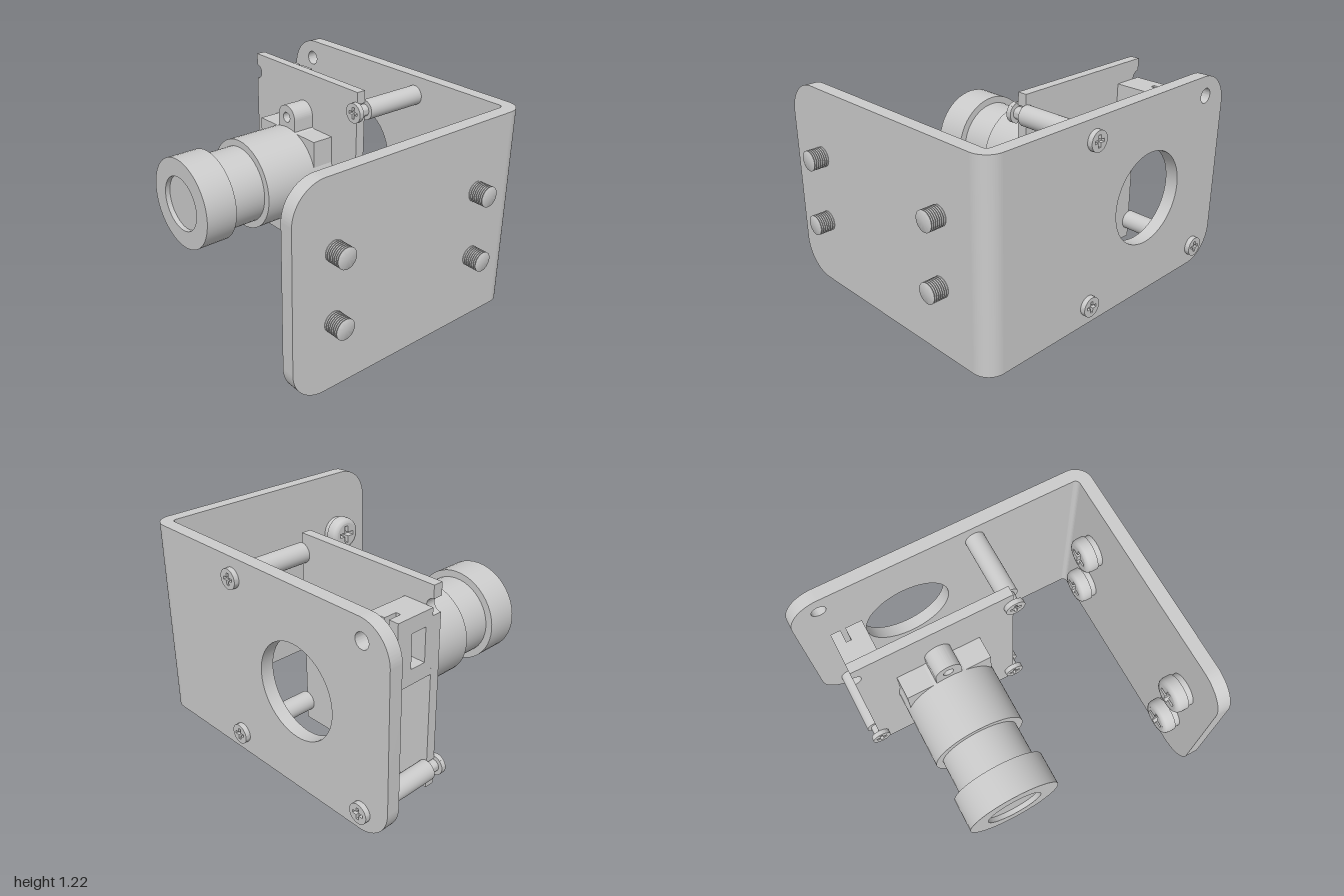
import * as THREE from 'three';
import { toCreasedNormals } from 'three/addons/utils/BufferGeometryUtils.js';

const material = new THREE.MeshStandardMaterial({ color: 0xcccccc });
const H = 1.22;                 // bracket and board height
const LENS = [-0.33, 0.61];     // lens axis in x, y

function part(name, geometry, parent) {
  const mesh = new THREE.Mesh(toCreasedNormals(geometry, 0.6), material);
  mesh.name = name;
  parent.add(mesh);
  return mesh;
}

function extrude(shape, depth, z = 0) {
  return new THREE.ExtrudeGeometry(shape, { depth, bevelEnabled: false, curveSegments: 24 }).translate(0, 0, z);
}

// Extrude a shape drawn in (z, y) so that it spans x0..x1
function extrudeX(shape, x0, x1) {
  return extrude(shape, x1 - x0).rotateY(-Math.PI / 2).translate(x1, 0, 0);
}

// Turned part along +z from [radius, z] points
function turned(points, segments = 40) {
  return new THREE.LatheGeometry(points.map(([r, z]) => new THREE.Vector2(r, z)), segments).rotateX(Math.PI / 2);
}

function circle(x, y, r) {
  const path = new THREE.Shape();
  path.absarc(x, y, r, 0, Math.PI * 2, false);
  return path;
}

function rect(x0, y0, x1, y1) {
  return new THREE.Shape([[x0, y0], [x1, y0], [x1, y1], [x0, y1]].map(p => new THREE.Vector2(...p)));
}

// Plate whose two corners at the free end are rounded; dir is the way the free end points
function plateShape(root, end, dir) {
  const r = 0.2, s = new THREE.Shape();
  s.moveTo(root, 0);
  s.lineTo(end - dir * r, 0);
  s.absarc(end - dir * r, r, r, -Math.PI / 2, dir > 0 ? 0 : -Math.PI, dir < 0);
  s.lineTo(end, H - r);
  s.absarc(end - dir * r, H - r, r, dir > 0 ? 0 : Math.PI, Math.PI / 2, dir < 0);
  s.lineTo(root, H);
  return s;
}

// Disc with a cross-shaped driver recess, front face at z = top
function crossDisc(r, cross, width, depth, top) {
  const s = circle(0, 0, r), a = cross, w = width;
  s.holes.push(new THREE.Path([[a, -w], [a, w], [w, w], [w, a], [-w, a], [-w, w], [-a, w], [-a, -w],
    [-w, -w], [-w, -a], [w, -a], [w, -w]].map(p => new THREE.Vector2(...p))));
  return extrude(s, depth, top - depth);
}

// Small screw: underside of the head at z = 0, facing +z
function smallScrew() {
  const g = new THREE.Group();
  g.name = 'smallScrew';
  part('screwHead', crossDisc(0.06, 0.035, 0.009, 0.02, 0.03), g);
  part('screwShank', turned([[0, -0.08], [0.036, -0.08], [0.036, 0], [0.06, 0], [0.06, 0.01], [0, 0.01]], 24), g);
  return g;
}

// Large mounting screw: underside of the head at z = 0, thread towards -z
function largeScrew() {
  const g = new THREE.Group();
  g.name = 'mountingScrew';
  part('mountingScrewFace', crossDisc(0.08, 0.06, 0.014, 0.05, 0.11), g);
  part('mountingScrewHead', turned([[0, 0], [0.1, 0], [0.1, 0.035], [0.11, 0.035], [0.11, 0.075], [0.105, 0.095],
    [0.095, 0.106], [0.08, 0.11], [0.08, 0.06], [0, 0.06]]), g);
  const thread = [[0, -0.175], [0.054, -0.175]];
  for (let i = 0; i < 8; i++) {
    const z = -0.172 + i * 0.0125;
    thread.push([0.06, z], [0.06, z + 0.004], [0.05, z + 0.008]);
  }
  thread.push([0.05, 0]);
  part('mountingScrewThread', turned(thread, 28), g);
  return g;
}

export function createModel() {
  const model = new THREE.Group();
  model.name = 'cameraBracketAssembly';

  // Bent bracket: back plate, bend and side plate
  const bracket = new THREE.Group();
  bracket.name = 'bracket';
  model.add(bracket);
  const back = plateShape(0.795, -1, -1);
  back.holes.push(circle(...LENS, 0.28), circle(-0.82, 1.1, 0.045));
  part('backPlate', extrude(back, 0.08, -0.8), bracket);
  part('sidePlate', extrudeX(plateShape(-0.69, 0.82, 1), 0.825, 0.905), bracket);
  const bend = new THREE.Shape();
  bend.absarc(0.795, 0.69, 0.11, 0, Math.PI / 2, false);
  bend.absarc(0.795, 0.69, 0.03, Math.PI / 2, 0, true);
  part('bend', extrude(bend, H).rotateX(-Math.PI / 2), bracket);

  // Circuit board with half-round notches on both edges
  const n = 0.045, x0 = -0.82, x1 = 0.155, q = Math.PI / 2;
  const board = new THREE.Shape();
  board.moveTo(x0, 0);
  board.lineTo(x1, 0);
  for (const y of [0.12, 1.1]) {
    board.lineTo(x1, y - n);
    board.absarc(x1, y, n, -q, q, true);
  }
  board.lineTo(x1, H);
  board.lineTo(x0, H);
  for (const y of [1.1, 0.12]) {
    board.lineTo(x0, y + n);
    board.absarc(x0, y, n, q, -q, true);
  }
  part('circuitBoard', extrude(board, 0.06, -0.31), model);

  // Standoffs with a screw at each end
  for (const [x, y] of [[0.155, 0.12], [0.155, 1.1], [-0.82, 0.12]]) {
    part('standoff', turned([[0, -0.72], [0.06, -0.72], [0.06, -0.31], [0, -0.31]], 32), model).position.set(x, y, 0);
    const front = smallScrew(), rear = smallScrew();
    front.position.set(x, y, -0.25);
    rear.position.set(x, y, -0.8);
    rear.rotation.y = Math.PI;
    model.add(front, rear);
  }

  // Connector on the back of the board: open socket, slotted wall, solid base
  const connector = new THREE.Group();
  connector.name = 'connector';
  model.add(connector);
  for (const [a, b, zBack, open] of [[-0.82, -0.76, -0.56, true], [-0.76, -0.73, -0.48, true], [-0.73, -0.63, -0.56, false]]) {
    const s = rect(zBack, 0.72, -0.31, 1.1);
    if (open) s.holes.push(rect(-0.46, 0.81, -0.36, 1.01));
    part('connectorWall', extrudeX(s, a, b), connector);
  }

  // Lens holder: square base with two drilled ears
  const holder = new THREE.Group();
  holder.name = 'lensHolder';
  holder.position.set(...LENS, 0);
  model.add(holder);
  part('holderBase', new THREE.BoxGeometry(0.53, 0.53, 0.14).translate(0, 0, -0.18), holder);
  for (const turn of [0, Math.PI]) {
    const ear = new THREE.Shape();
    ear.moveTo(-0.08, 0.2);
    ear.lineTo(0.08, 0.2);
    ear.absarc(0, 0.345, 0.08, 0, Math.PI, false);
    ear.holes.push(circle(0, 0.347, 0.032));
    part('holderEar', extrude(ear, 0.14, -0.25), holder).rotation.z = turn;
  }

  // Lens barrel with narrow neck, front ring and recessed glass
  part('lensBarrel', turned([[0, -0.25], [0.283, -0.25], [0.283, 0.245], [0.24, 0.245], [0.24, 0.475],
    [0.283, 0.475], [0.283, 0.675], [0.17, 0.675], [0.17, 0.645], [0, 0.645]], 48), holder);

  // Mounting screws through the side plate
  for (const y of [0.41, 0.815]) for (const z of [-0.455, 0.56]) {
    const screw = largeScrew();
    screw.position.set(0.825, y, z);
    screw.rotation.y = -Math.PI / 2;
    model.add(screw);
  }
  return model;
}
